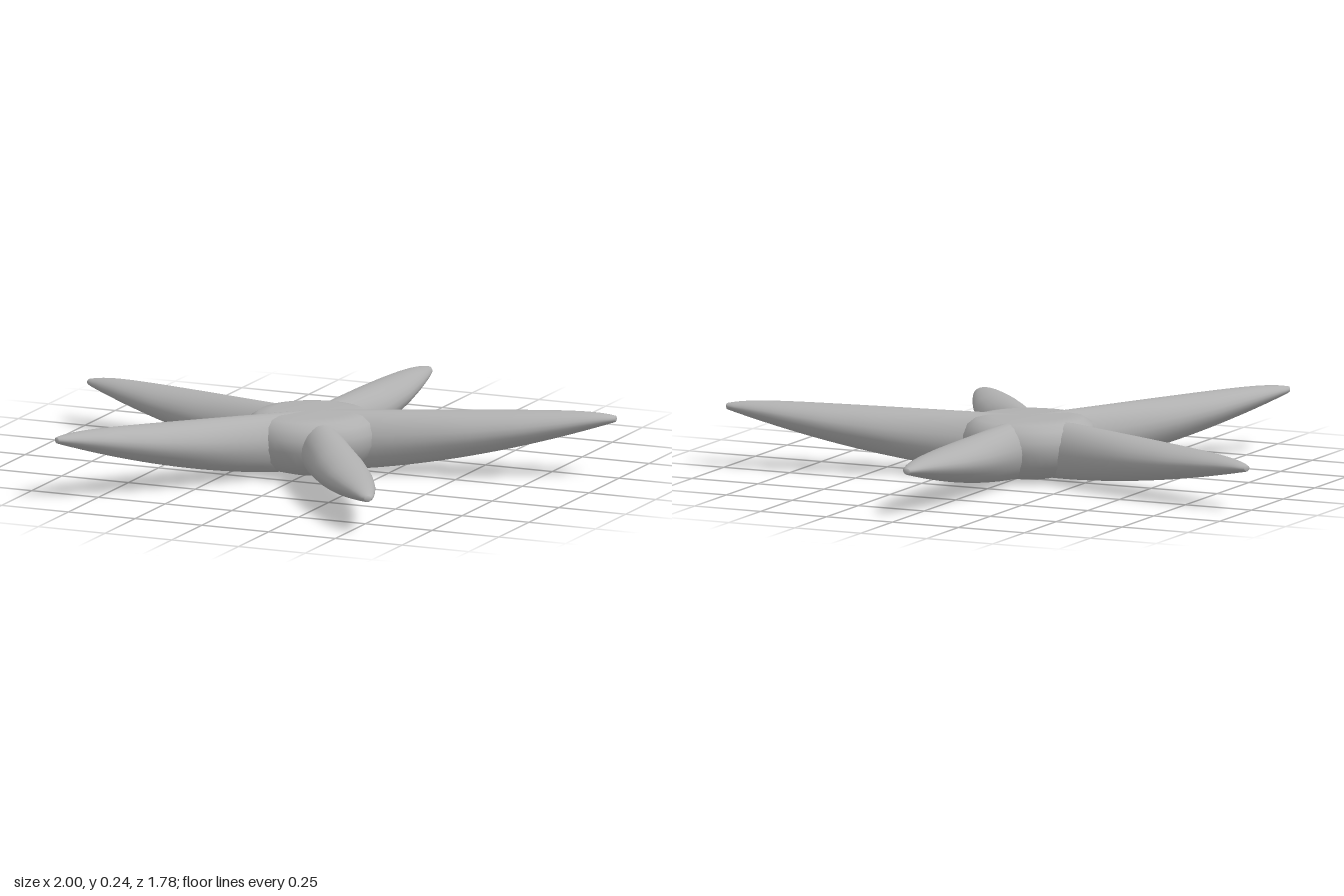
import * as THREE from 'three';

const CENTER_X = -0.01, CENTER_Z = 0.06, TOP = 0.213;
const SIDES = 24, STEPS = 28;

// Half-width of an arm at a fraction t of its length
const widths = [[0, 0.07], [0.25, 0.08], [0.5, 0.088], [0.68, 0.08], [0.82, 0.061], [0.92, 0.041], [0.98, 0.024], [1, 0.012]];
function halfWidth(t) {
  const i = Math.max(1, widths.findIndex(p => p[0] >= t));
  const [a, b] = [widths[i - 1], widths[i]];
  return THREE.MathUtils.mapLinear(t, a[0], b[0], a[1], b[1]);
}

// Tapered arm: flat-running back, belly curving up to the tip
function armGeometry(tipX, tipY, tipZ) {
  const dir = new THREE.Vector2(tipX - CENTER_X, tipZ - CENTER_Z);
  const length = dir.length();
  dir.normalize();
  const pos = [], index = [];
  const put = (r, side, y) => pos.push(
    CENTER_X + dir.x * r - dir.y * side, y, CENTER_Z + dir.y * r + dir.x * side);
  for (let i = 0; i <= STEPS; i++) {
    const t = Math.sin((i / STEPS) * Math.PI / 2);
    const droop = 0.018 * Math.pow(t, 14);
    const top = THREE.MathUtils.lerp(TOP, tipY + 0.027, t) - droop;
    const bottom = 0.004 + (tipY - 0.016) * Math.pow(t, 1.7);
    const mid = (top + bottom) / 2, h = (top - bottom) / 2, w = halfWidth(t);
    for (let j = 0; j < SIDES; j++) {
      const a = (j / SIDES) * Math.PI * 2, s = Math.sin(a);
      const pinch = s < 0 ? 1 + 0.15 * s : 1;
      put(t * length, w * Math.cos(a) * pinch, mid + h * s);
    }
  }
  for (let i = 0; i < STEPS; i++) {
    for (let j = 0; j < SIDES; j++) {
      const a = i * SIDES + j, b = i * SIDES + (j + 1) % SIDES;
      index.push(a, a + SIDES, b, b, a + SIDES, b + SIDES);
    }
  }
  // Close the tip
  const last = STEPS * SIDES, apex = pos.length / 3;
  put(length + 0.004, 0, tipY);
  for (let j = 0; j < SIDES; j++) index.push(last + j, apex, last + (j + 1) % SIDES);
  const geometry = new THREE.BufferGeometry();
  geometry.setAttribute('position', new THREE.Float32BufferAttribute(pos, 3));
  geometry.setIndex(index);
  geometry.computeVertexNormals();
  return geometry;
}

export function createModel() {
  const model = new THREE.Group();
  model.name = 'starfish';
  const skin = new THREE.MeshStandardMaterial({ color: 0xb0b0b0 });
  skin.name = 'grey skin';

  // Central disc that fills the corners between the arms
  const profile = [[0, 0.003], [0.1, 0.005], [0.16, 0.022], [0.205, 0.06], [0.23, 0.11],
    [0.23, 0.15], [0.215, 0.185], [0.185, 0.205], [0.14, TOP], [0, TOP]];
  const body = new THREE.Mesh(
    new THREE.LatheGeometry(profile.map(p => new THREE.Vector2(...p)), 40), skin);
  body.name = 'centralDisc';
  body.position.set(CENTER_X, 0, CENTER_Z);
  model.add(body);

  // Five arms, each lifted by a different amount
  const tips = {
    backArm: [0, 0.162, -0.888],
    leftArm: [0.995, 0.215, -0.235],
    rightArm: [-0.995, 0.152, -0.275],
    frontLeftArm: [0.57, 0.125, 0.885],
    frontRightArm: [-0.6, 0.22, 0.875],
  };
  for (const [name, tip] of Object.entries(tips)) {
    const arm = new THREE.Mesh(armGeometry(...tip), skin);
    arm.name = name;
    model.add(arm);
  }
  return model;
}
